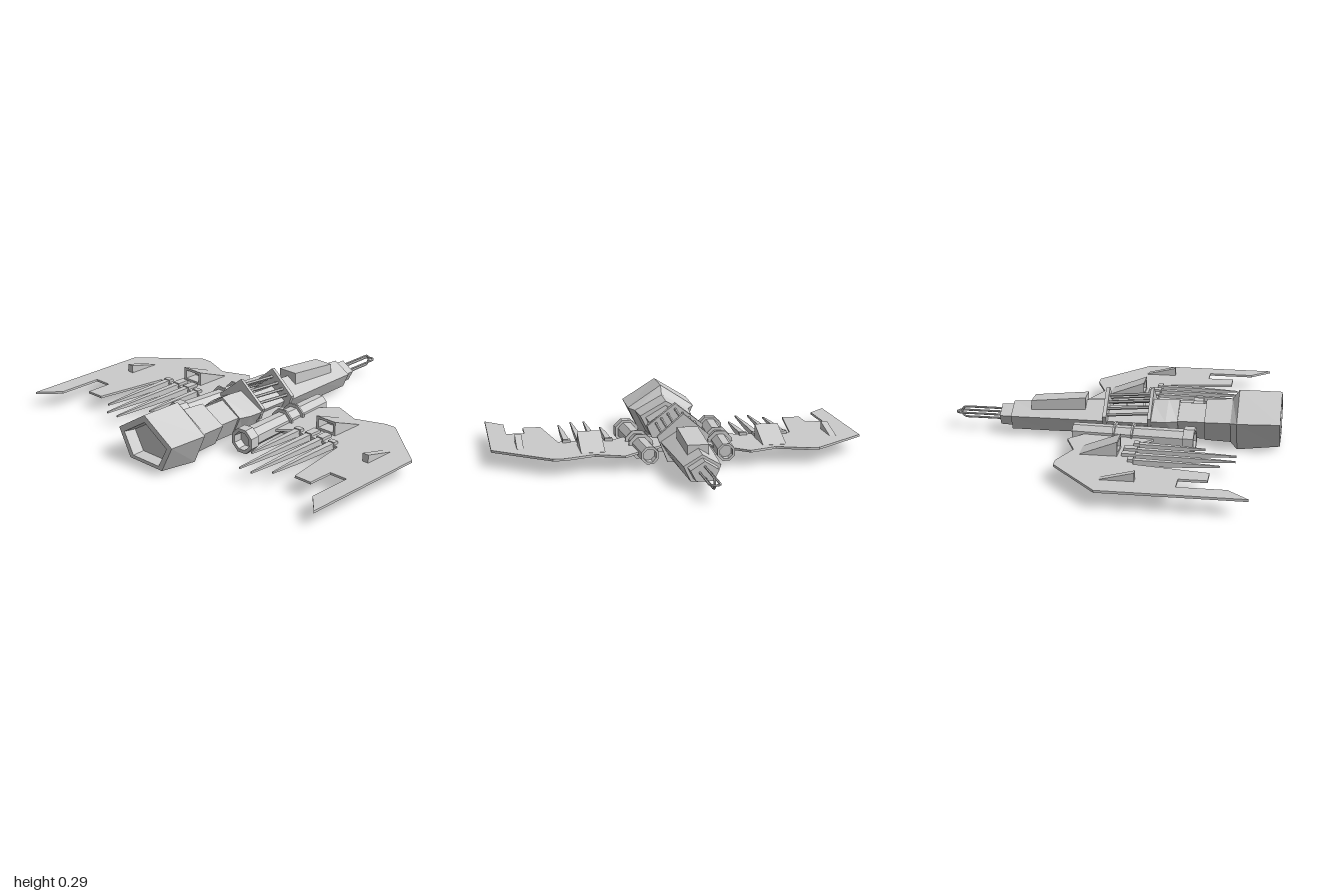
import * as THREE from 'three';

const mat = new THREE.MeshStandardMaterial({ color: 0xcccccc, flatShading: true, side: THREE.DoubleSide });

// Skin a list of [z, ring] sections; rings run counter-clockwise seen from +z, ends are capped
function loft(sections) {
  const pos = [];
  const n = sections[0][1].length;
  const pt = (i, j) => [...sections[i][1][j % n], sections[i][0]];
  const tri = (a, b, c) => pos.push(...a, ...b, ...c);
  const last = sections.length - 1;
  for (let i = 0; i < last; i++) {
    for (let j = 0; j < n; j++) {
      tri(pt(i, j), pt(i, j + 1), pt(i + 1, j + 1));
      tri(pt(i, j), pt(i + 1, j + 1), pt(i + 1, j));
    }
  }
  for (let j = 1; j < n - 1; j++) {
    tri(pt(0, 0), pt(0, j + 1), pt(0, j));
    tri(pt(last, 0), pt(last, j), pt(last, j + 1));
  }
  const g = new THREE.BufferGeometry();
  g.setAttribute('position', new THREE.Float32BufferAttribute(pos, 3));
  g.computeVertexNormals();
  return g;
}

// Cross-section rings
const penta = (w, top, mid, bottom) => [[w, mid], [0, top], [-w, mid], [-w * 0.6, bottom], [w * 0.6, bottom]];
const rect = (x0, x1, y0, y1) => [[x0, y0], [x1, y0], [x1, y1], [x0, y1]];
const octagon = (r) => Array.from({ length: 8 }, (_, i) => {
  const a = (i + 0.5) * Math.PI / 4;
  return [r * Math.cos(a), r * Math.sin(a)];
});

function add(parent, name, geometry) {
  const m = new THREE.Mesh(geometry, mat);
  m.name = name;
  parent.add(m);
  return m;
}

// Straight round rod between two points
function rod(parent, name, a, b, r) {
  const path = new THREE.LineCurve3(new THREE.Vector3(...a), new THREE.Vector3(...b));
  return add(parent, name, new THREE.TubeGeometry(path, 1, r, 6));
}

// Hairpin rail on the nose, lying flat or upright
function noseLoop(parent, r, tip, upright) {
  const pts = [];
  const put = (d, z) => pts.push(new THREE.Vector3(upright ? 0 : d, 0.095 + (upright ? d : 0), z));
  for (let i = 0; i < 6; i++) put(r, -0.6 + (tip + r + 0.6) * i / 6);
  for (let i = 0; i <= 8; i++) {
    const a = i * Math.PI / 8;
    put(r * Math.cos(a), tip + r - r * Math.sin(a));
  }
  for (let i = 5; i >= 0; i--) put(-r, -0.6 + (tip + r + 0.6) * i / 6);
  add(parent, upright ? 'uprightNoseLoop' : 'flatNoseLoop',
    new THREE.TubeGeometry(new THREE.CatmullRomCurve3(pts), 60, 0.006, 6));
}

function buildHull(g) {
  add(g, 'noseCap', loft([
    [-0.615, penta(0.072, 0.15, 0.105, 0.05)], [-0.54, penta(0.076, 0.153, 0.107, 0.048)]]));
  add(g, 'foreHull', loft([
    [-0.55, penta(0.095, 0.168, 0.112, 0.032)], [-0.34, penta(0.106, 0.184, 0.117, 0.034)],
    [-0.05, penta(0.122, 0.2, 0.122, 0.04)]]));
  add(g, 'dorsalPlate', loft([
    [-0.445, rect(-0.055, 0.055, 0.14, 0.193)], [-0.155, rect(-0.055, 0.055, 0.15, 0.222)]]));
  add(g, 'core', loft([
    [-0.06, penta(0.09, 0.17, 0.11, 0.045)], [0.22, penta(0.09, 0.18, 0.11, 0.045)]]));
  add(g, 'midHull', loft([
    [0.19, penta(0.15, 0.215, 0.14, 0.04)], [0.28, penta(0.145, 0.222, 0.14, 0.036)],
    [0.34, penta(0.125, 0.222, 0.14, 0.036)]]));
  add(g, 'waist', loft([
    [0.33, penta(0.115, 0.206, 0.14, 0.036)], [0.49, penta(0.115, 0.206, 0.14, 0.036)]]));
  // Tail flares into the engine block, which is hollow at the back
  add(g, 'engineBlock', loft([
    [0.48, penta(0.145, 0.23, 0.15, 0.036)], [0.615, penta(0.155, 0.24, 0.155, 0.034)],
    [0.65, penta(0.19, 0.29, 0.165, 0.003)], [0.87, penta(0.19, 0.29, 0.172, 0.03)],
    [0.87, penta(0.152, 0.252, 0.158, 0.048)], [0.81, penta(0.14, 0.24, 0.155, 0.055)]]));
}

// Two pentagonal bulkheads joined by bars
function buildCage(g) {
  const cage = new THREE.Group();
  cage.name = 'cage';
  g.add(cage);
  add(cage, 'frontBulkhead', loft([
    [-0.052, penta(0.14, 0.268, 0.15, 0.012)], [-0.032, penta(0.14, 0.272, 0.15, 0.012)]]));
  add(cage, 'rearBulkhead', loft([
    [0.185, penta(0.155, 0.275, 0.155, 0.012)], [0.203, penta(0.155, 0.28, 0.155, 0.012)]]));
  for (const [x, y] of [[0, 0.235], [0.04, 0.21], [0.075, 0.185], [0.105, 0.16]]) {
    for (const s of x ? [1, -1] : [1]) rod(cage, 'cageBar', [s * x, y - 0.01, -0.04], [s * x, y + 0.01, 0.195], 0.008);
  }
}

// Octagonal barrel with a hollow collar and two thin bands
function buildBarrel(g, s) {
  const barrel = new THREE.Group();
  barrel.name = s > 0 ? 'leftBarrel' : 'rightBarrel';
  barrel.position.set(s * 0.212, 0.085, 0);
  barrel.rotation.y = s * 0.06;
  g.add(barrel);
  add(barrel, 'barrelShaft', loft([
    [-0.15, octagon(0.034)], [-0.19, octagon(0.036)], [-0.19, octagon(0.049)], [0.4, octagon(0.055)]]));
  add(barrel, 'barrelCollar', loft([
    [0.39, octagon(0.069)], [0.445, octagon(0.069)], [0.445, octagon(0.05)], [0.4, octagon(0.046)]]));
  for (const z of [0.03, 0.125]) {
    add(barrel, 'barrelBand', loft([[z - 0.005, octagon(0.07)], [z + 0.005, octagon(0.07)]]));
  }
}

function buildWing(g, s) {
  const wing = new THREE.Group();
  wing.name = s > 0 ? 'leftWing' : 'rightWing';
  g.add(wing);
  const outline = [[0.08, 0.02], [0.2, -0.08], [0.33, -0.2], [0.48, -0.14], [0.64, -0.2], [0.7, -0.2],
    [1, 0.05], [1, 0.765], [0.9, 0.66], [0.9, 0.42], [0.8, 0.42], [0.8, 0.56], [0.7, 0.56],
    [0.64, 0.18], [0.34, 0.18], [0.27, 0.24], [0.08, 0.2]];
  const shape = new THREE.Shape(outline.map(([x, z]) => new THREE.Vector2(s * x, z)));
  const panel = add(wing, 'wingPanel',
    new THREE.ExtrudeGeometry(shape, { depth: 0.012, bevelEnabled: false }).rotateX(Math.PI / 2));
  panel.position.y = 0.092;

  // Wedge-shaped intake, open towards the rear
  const intake = add(wing, 'intake', loft([
    [-0.1, rect(-0.063, 0.063, 0.088, 0.093)], [0.09, rect(-0.063, 0.063, 0.088, 0.166)],
    [0.09, rect(-0.048, 0.048, 0.105, 0.152)], [0.02, rect(-0.048, 0.048, 0.105, 0.124)]]));
  intake.position.x = s * 0.483;

  // Small outer fin
  const fin = add(wing, 'fin', loft([
    [0.05, rect(-0.018, 0.018, 0.088, 0.093)], [0.22, rect(-0.018, 0.018, 0.088, 0.135)]]));
  fin.position.x = s * 0.848;

  // Trailing spikes, each with a square root block
  for (const [x, start, tip] of [[0.37, 0.15, 0.51], [0.445, 0.11, 0.67], [0.52, 0.11, 0.67], [0.595, 0.15, 0.6]]) {
    const square = (h) => rect(-h, h, 0.086 - h, 0.086 + h);
    const spike = add(wing, 'spike', loft([
      [start, square(0.021)], [0.178, square(0.021)], [0.178, square(0.016)],
      [start + (tip - start) * 0.55, square(0.012)], [tip, square(0.004)]]));
    spike.position.x = s * x;
  }
}

export function createModel() {
  const model = new THREE.Group();
  model.name = 'spacecraft';
  buildHull(model);
  buildCage(model);
  noseLoop(model, 0.026, -0.865, false);
  noseLoop(model, 0.028, -0.84, true);
  for (const s of [1, -1]) {
    buildBarrel(model, s);
    buildWing(model, s);
  }
  return model;
}
